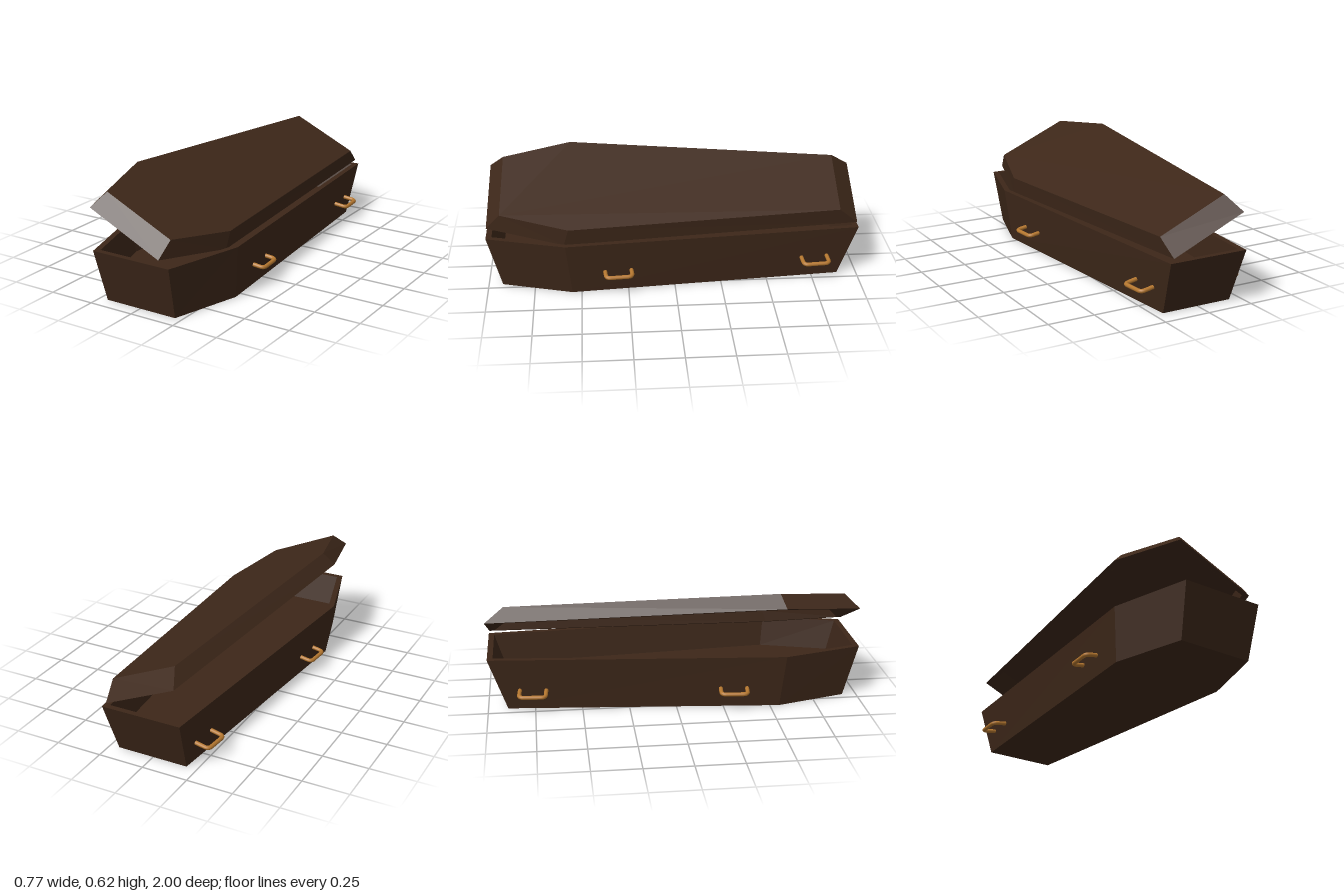
import * as THREE from 'three';

const wood = new THREE.MeshStandardMaterial({ color: 0x3d2719, flatShading: true });
const brass = new THREE.MeshStandardMaterial({ color: 0xb5772f });

// Six-sided outline: half widths at foot, shoulder and head, their z positions, and a height
function outline(front, wide, back, zf, zw, zb, y) {
  return [[front, zf], [wide, zw], [back, zb], [-back, zb], [-wide, zw], [-front, zf]]
    .map(([x, z]) => [x, y, z]);
}

// Skin a run of outlines and close both ends; flip turns the faces for an upside-down shell
function shell(loops, flip) {
  const pos = [];
  const tri = (a, b, c) => pos.push(...a, ...(flip ? c : b), ...(flip ? b : c));
  for (let l = 0; l < loops.length - 1; l++) {
    const A = loops[l], B = loops[l + 1];
    for (let i = 0; i < 6; i++) {
      const j = (i + 1) % 6;
      tri(A[i], A[j], B[j]);
      tri(A[i], B[j], B[i]);
    }
  }
  const first = loops[0], last = loops[loops.length - 1];
  for (let i = 1; i < 5; i++) {
    tri(first[0], first[i + 1], first[i]);
    tri(last[0], last[i], last[i + 1]);
  }
  const geo = new THREE.BufferGeometry();
  geo.setAttribute('position', new THREE.Float32BufferAttribute(pos, 3));
  geo.computeVertexNormals();
  return geo;
}

// U-shaped carrying handle, reaching out along +x
function handleGeometry() {
  const v = (x, y, z) => new THREE.Vector3(x, y, z);
  const path = new THREE.CurvePath();
  const p = [v(-0.01, 0.004, -0.07), v(0.045, -0.004, -0.07), v(0.07, -0.008, -0.045),
    v(0.07, -0.008, 0.045), v(0.045, -0.004, 0.07), v(-0.01, 0.004, 0.07)];
  path.add(new THREE.LineCurve3(p[0], p[1]));
  path.add(new THREE.QuadraticBezierCurve3(p[1], v(0.07, -0.008, -0.07), p[2]));
  path.add(new THREE.LineCurve3(p[2], p[3]));
  path.add(new THREE.QuadraticBezierCurve3(p[3], v(0.07, -0.008, 0.07), p[4]));
  path.add(new THREE.LineCurve3(p[4], p[5]));
  return new THREE.TubeGeometry(path, 48, 0.011, 10);
}

export function createModel() {
  const model = new THREE.Group();
  const add = (name, geo, mat) => {
    const mesh = new THREE.Mesh(geo, mat);
    mesh.name = name;
    model.add(mesh);
    return mesh;
  };

  // Open box with flaring walls
  const box = add('box', shell([
    outline(0.207, 0.319, 0.195, 0.925, 0.55, -0.895, 0),
    outline(0.227, 0.348, 0.218, 1, 0.58, -0.995, 0.285),
    outline(0.204, 0.318, 0.19, 0.97, 0.575, -0.965, 0.285),
    outline(0.19, 0.3, 0.177, 0.925, 0.56, -0.91, 0.12),
  ], false), wood);
  box.position.x = 0.004;

  // Hollow lid, tipped open and slightly askew
  const lid = add('lid', shell([
    outline(0.209, 0.317, 0.198, 0.92, 0.555, -0.895, 0.085),
    outline(0.227, 0.346, 0.215, 0.995, 0.58, -0.995, 0),
    outline(0.204, 0.316, 0.19, 0.965, 0.575, -0.965, 0),
    outline(0.192, 0.297, 0.18, 0.905, 0.555, -0.88, 0.06),
  ], true), wood);
  lid.rotation.order = 'ZYX';
  lid.rotation.set(0, -0.022, -0.424);
  lid.position.set(-0.014, 0.403, 0);

  // Two handles on each long side, following the taper
  const geo = handleGeometry();
  for (const side of [1, -1]) {
    for (const [z, x] of [[0.305, 0.3], [-0.76, 0.222]]) {
      const handle = add(side > 0 ? 'leftHandle' : 'rightHandle', geo, brass);
      handle.position.set(side * x + 0.002, side > 0 ? 0.115 : 0.104, z);
      handle.rotation.y = side > 0 ? 0.082 : Math.PI - 0.082;
    }
  }
  return model;
}
